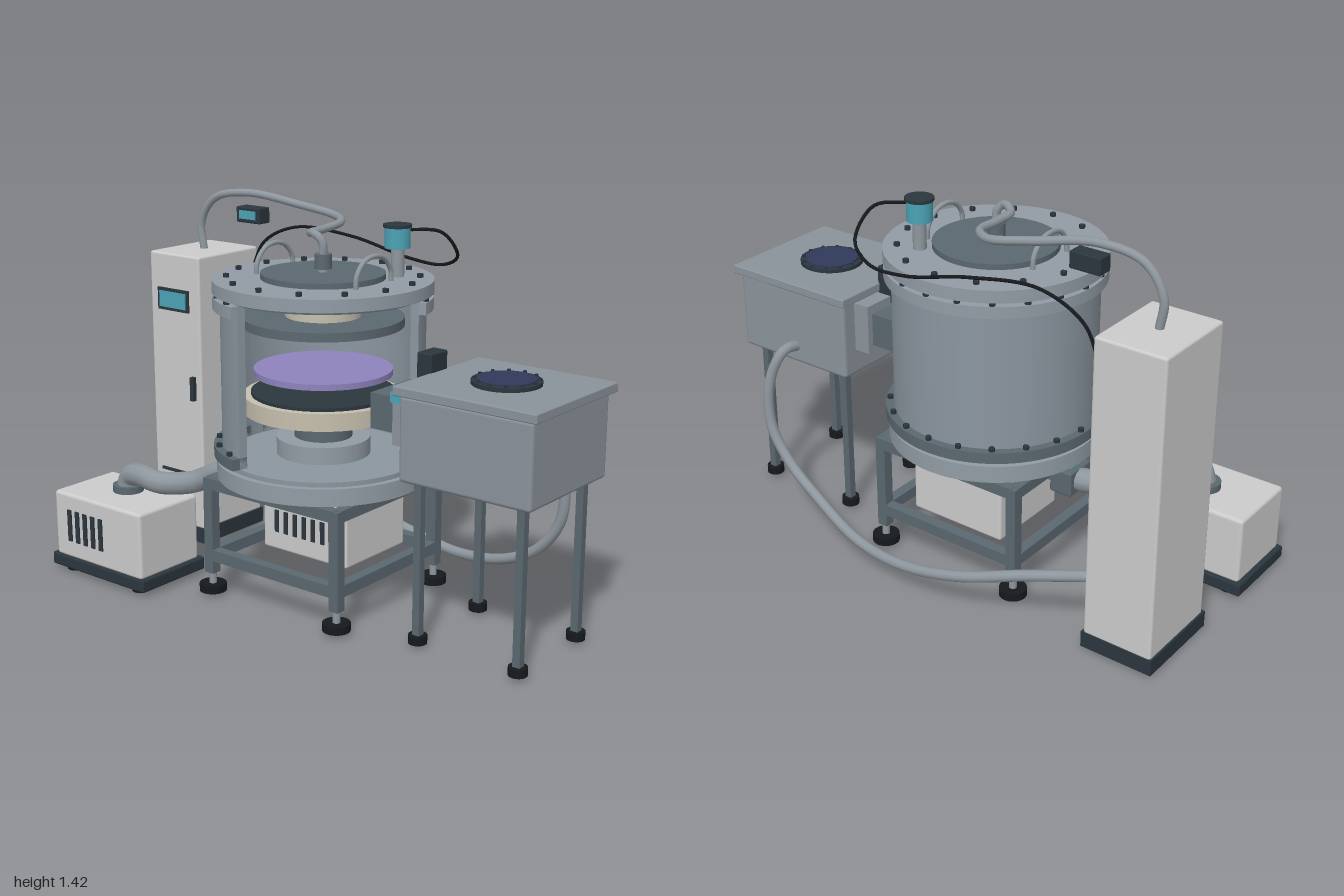
import * as THREE from 'three';
import { toCreasedNormals } from 'three/addons/utils/BufferGeometryUtils.js';
import { RoundedBoxGeometry } from 'three/addons/geometries/RoundedBoxGeometry.js';

const COLORS = {
  steel: 0x929ca5, wall: 0x8b96a0, frame: 0x5b6870, panel: 0xc4c8c7, dark: 0x2b363e, black: 0x16191c,
  teal: 0x4ba3b6, purple: 0x8f83bd, beige: 0xc6bfae, glass: 0x30395a, lock: 0x8b939b, pipe: 0x8e979e,
};
const CX = -0.053; // chamber axis

export function createModel() {
  const root = new THREE.Group();
  root.name = 'processChamberSystem';
  const mats = {};
  for (const k in COLORS) mats[k] = new THREE.MeshStandardMaterial({ color: COLORS[k] });

  const group = (name) => {
    const g = new THREE.Group();
    g.name = name;
    root.add(g);
    return g;
  };
  const add = (parent, name, geo, mat, x = 0, y = 0, z = 0) => {
    const m = new THREE.Mesh(geo, mats[mat]);
    m.name = name;
    m.position.set(x, y, z);
    parent.add(m);
    return m;
  };
  // Box given by its extents on each axis; r rounds the edges
  const box = (p, name, mat, [x0, x1], [y0, y1], [z0, z1], r = 0) => {
    const s = [x1 - x0, y1 - y0, z1 - z0];
    const geo = r ? new RoundedBoxGeometry(...s, 2, r) : new THREE.BoxGeometry(...s);
    return add(p, name, geo, mat, (x0 + x1) / 2, (y0 + y1) / 2, (z0 + z1) / 2);
  };
  // Upright cylinder from y0 to y1
  const cyl = (p, name, mat, r, y0, y1, x, z, seg = 48) =>
    add(p, name, new THREE.CylinderGeometry(r, r, y1 - y0, seg), mat, x, (y0 + y1) / 2, z);
  const tube = (p, name, mat, r, pts, seg = 64) => {
    const curve = new THREE.CatmullRomCurve3(pts.map((q) => new THREE.Vector3(...q)));
    return add(p, name, new THREE.TubeGeometry(curve, seg, r, 10), mat);
  };

  // Ring around the chamber axis, cut open toward the front left
  const OPEN0 = THREE.MathUtils.degToRad(13.6), OPEN1 = THREE.MathUtils.degToRad(256.4);
  const openRing = (p, name, mat, rIn, rOut, y0, y1) => {
    const s = new THREE.Shape();
    s.absarc(0, 0, rOut, OPEN0, OPEN1, false);
    s.absarc(0, 0, rIn, OPEN1, OPEN0, true);
    const geo = new THREE.ExtrudeGeometry(s, { depth: y1 - y0, bevelEnabled: false, curveSegments: 56 });
    geo.rotateX(-Math.PI / 2);
    return add(p, name, toCreasedNormals(geo, 0.5), mat, CX, y0, 0);
  };
  const bolts = (p, name, n, r, y, a0, a1, cx = CX, size = 0.011, h = 0.014) => {
    for (let i = 0; i < n; i++) {
      const a = a0 + ((a1 - a0) * i) / n;
      cyl(p, name, 'dark', size, y, y + h, cx + r * Math.cos(a), -r * Math.sin(a), 6);
    }
  };

  // Chamber shell
  const chamber = group('chamber');
  cyl(chamber, 'basePlate', 'steel', 0.387, 0.457, 0.52, CX, 0, 64);
  cyl(chamber, 'baseStep', 'wall', 0.365, 0.52, 0.537, CX, 0, 64);
  openRing(chamber, 'chamberWall', 'wall', 0.335, 0.366, 0.537, 1.12);
  openRing(chamber, 'lowerFlange', 'frame', 0.335, 0.396, 0.537, 0.578);
  openRing(chamber, 'upperFlange', 'steel', 0.335, 0.392, 1.077, 1.12);
  bolts(chamber, 'lowerFlangeBolt', 14, 0.38, 0.578, OPEN0 + 0.08, OPEN1 + 0.18);
  bolts(chamber, 'upperFlangeBolt', 14, 0.38, 1.12, OPEN0 + 0.08, OPEN1 + 0.18);

  // Lid with handles, feedthrough and sensor
  const lid = group('lid');
  cyl(lid, 'lidPlate', 'steel', 0.393, 1.133, 1.178, CX, 0, 64);
  cyl(lid, 'lidSeal', 'frame', 0.36, 1.12, 1.133, CX, 0, 64);
  cyl(lid, 'lidCentre', 'frame', 0.222, 1.178, 1.198, CX, 0, 64);
  bolts(lid, 'lidBolt', 14, 0.342, 1.178, Math.PI / 2, Math.PI * 2.5);
  for (const s of [-1, 1]) {
    const x = CX + s * 0.225;
    tube(lid, 'lidHandle', 'pipe', 0.009, [[x, 1.17, -0.1], [x, 1.22, -0.095], [x, 1.265, -0.055], [x, 1.278, 0],
      [x, 1.265, 0.055], [x, 1.22, 0.095], [x, 1.17, 0.1]], 32);
  }
  cyl(lid, 'feedthrough', 'frame', 0.031, 1.21, 1.262, CX, 0, 24);
  cyl(lid, 'feedthroughStem', 'pipe', 0.018, 1.195, 1.215, CX, 0, 20);
  cyl(lid, 'sensorPost', 'pipe', 0.024, 1.178, 1.285, 0.138, -0.182, 24);
  cyl(lid, 'sensorBody', 'teal', 0.046, 1.28, 1.353, 0.138, -0.18, 32);
  cyl(lid, 'sensorCap', 'dark', 0.051, 1.353, 1.364, 0.138, -0.18, 32);

  // Inner electrodes and pedestal
  const inner = group('electrodeStack');
  cyl(inner, 'upperInsulator', 'beige', 0.135, 1.04, 1.122, CX, 0);
  cyl(inner, 'upperElectrode', 'frame', 0.29, 1.01, 1.042, CX, 0);
  cyl(inner, 'wafer', 'purple', 0.25, 0.83, 0.852, CX, 0);
  cyl(inner, 'lowerElectrode', 'beige', 0.288, 0.695, 0.758, CX, 0);
  cyl(inner, 'electrodeFace', 'dark', 0.26, 0.758, 0.77, CX, 0);
  cyl(inner, 'pedestalColumn', 'frame', 0.105, 0.59, 0.695, CX, 0);
  cyl(inner, 'pedestalFoot', 'steel', 0.17, 0.535, 0.6, CX, 0);

  // Support frame
  const frame = group('supportFrame');
  const FX = 0.293, FZ = 0.288, t = 0.02;
  for (const sx of [-1, 1]) for (const sz of [-1, 1]) {
    const x = CX + sx * FX, z = sz * FZ;
    box(frame, 'frameLeg', 'frame', [x - t, x + t], [0.085, 0.45], [z - t, z + t]);
    cyl(frame, 'footStem', 'pipe', 0.014, 0.04, 0.09, x, z, 16);
    cyl(frame, 'footPad', 'black', 0.05, 0.013, 0.042, x, z, 24);
  }
  for (const [y0, y1] of [[0.41, 0.452], [0.135, 0.178]]) for (const s of [-1, 1]) {
    box(frame, 'frameSideRail', 'frame', [CX + s * FX - t, CX + s * FX + t], [y0, y1], [-FZ, FZ]);
    box(frame, 'frameCrossRail', 'frame', [CX - FX, CX + FX], [y0, y1], [s * FZ - t, s * FZ + t]);
  }

  // Power unit inside the frame
  const power = group('powerUnit');
  box(power, 'powerBody', 'panel', [-0.245, 0.147], [0.16, 0.362], [-0.228, 0.117], 0.01);
  for (let i = 0; i < 7; i++) {
    const x = -0.178 + i * 0.043;
    box(power, 'powerVent', 'dark', [x - 0.009, x + 0.009], [0.23, 0.315], [0.11, 0.121]);
  }

  // Gas and generator cabinet
  const cabinet = group('gasCabinet');
  box(cabinet, 'cabinetBase', 'dark', [-0.978, -0.703], [0.01, 0.07], [-0.392, -0.04]);
  box(cabinet, 'cabinetBody', 'panel', [-0.972, -0.71], [0.065, 1.167], [-0.39, -0.05], 0.01);
  box(cabinet, 'displayFrame', 'dark', [-0.926, -0.764], [0.943, 1.03], [-0.055, -0.042]);
  box(cabinet, 'display', 'teal', [-0.914, -0.776], [0.955, 1.018], [-0.05, -0.038]);
  box(cabinet, 'doorHandle', 'dark', [-0.755, -0.737], [0.597, 0.692], [-0.055, -0.032]);
  for (let i = 0; i < 4; i++) {
    const y = 0.19 + i * 0.03;
    box(cabinet, 'cabinetVent', 'dark', [-0.935, -0.77], [y, y + 0.012], [-0.055, -0.045]);
  }

  // Vacuum pump
  const pump = group('vacuumPump');
  box(pump, 'pumpBase', 'dark', [-1, -0.505], [0.018, 0.067], [0.165, 0.492], 0.008);
  box(pump, 'pumpBody', 'panel', [-0.983, -0.523], [0.06, 0.318], [0.18, 0.483], 0.014);
  for (const x of [-0.93, -0.575]) for (const z of [0.22, 0.44]) cyl(pump, 'pumpFoot', 'black', 0.03, 0, 0.02, x, z, 20);
  for (let i = 0; i < 5; i++) {
    const x = -0.9 + i * 0.042;
    box(pump, 'pumpVent', 'dark', [x - 0.01, x + 0.01], [0.13, 0.255], [0.475, 0.488]);
  }
  cyl(pump, 'pumpPort', 'frame', 0.058, 0.315, 0.345, -0.758, 0.31, 32);
  tube(pump, 'vacuumHose', 'pipe', 0.043, [[-0.758, 0.335, 0.31], [-0.74, 0.38, 0.312], [-0.67, 0.4, 0.325],
    [-0.56, 0.395, 0.33], [-0.49, 0.39, 0.25], [-0.505, 0.38, 0.13], [-0.5, 0.38, 0.04], [-0.45, 0.38, 0],
    [-0.36, 0.38, 0], [-0.24, 0.385, 0], [-0.195, 0.41, 0], [-0.185, 0.46, 0]], 80);
  box(pump, 'vacuumValve', 'frame', [-0.43, -0.34], [0.33, 0.425], [-0.065, 0.065], 0.008);
  box(pump, 'valveActuator', 'teal', [-0.41, -0.355], [0.425, 0.455], [-0.03, 0.03]);
  tube(pump, 'pumpLine', 'pipe', 0.017, [[-0.8, 0.27, -0.06], [-0.785, 0.27, 0.04], [-0.765, 0.265, 0.12], [-0.755, 0.265, 0.2]], 20);

  // Transfer neck and gate valve
  const gate = group('gateValve');
  box(gate, 'transferNeck', 'frame', [0.275, 0.4], [0.72, 0.845], [-0.148, 0.148]);
  box(gate, 'gateBody', 'lock', [0.397, 0.462], [0.692, 0.88], [-0.172, 0.187]);
  box(gate, 'gateIndicator', 'teal', [0.402, 0.455], [0.845, 0.88], [0.187, 0.208]);
  box(gate, 'gateActuator', 'dark', [0.394, 0.456], [0.85, 0.985], [-0.045, 0.05], 0.006);

  // Load lock
  const lock = group('loadLock');
  box(lock, 'lockBody', 'lock', [0.465, 0.977], [0.59, 0.888], [-0.23, 0.245], 0.014);
  box(lock, 'lockLid', 'lock', [0.447, 0.997], [0.886, 0.92], [-0.248, 0.258], 0.005);
  cyl(lock, 'windowRing', 'dark', 0.118, 0.918, 0.934, 0.724, 0.003);
  cyl(lock, 'windowGlass', 'glass', 0.098, 0.93, 0.94, 0.724, 0.003);
  bolts(lock, 'windowBolt', 12, 0.107, 0.934, 0, Math.PI * 2, 0.724, 0.006, 0.008);
  for (const x of [0.52, 0.922]) for (const z of [-0.172, 0.195]) {
    box(lock, 'lockLeg', 'frame', [x - 0.014, x + 0.014], [0.035, 0.6], [z - 0.014, z + 0.014]);
    cyl(lock, 'lockFoot', 'black', 0.033, 0.013, 0.043, x, z, 20);
  }

  // Floating readout
  const readout = group('readout');
  box(readout, 'readoutCase', 'dark', [-0.638, -0.52], [1.295, 1.355], [-0.25, -0.19], 0.005);
  box(readout, 'readoutScreen', 'teal', [-0.62, -0.54], [1.31, 1.342], [-0.195, -0.186]);

  // Lines between the units
  const lines = group('connectingLines');
  tube(lines, 'gasLine', 'pipe', 0.015, [[-0.84, 1.16, -0.22], [-0.85, 1.27, -0.22], [-0.78, 1.37, -0.222],
    [-0.62, 1.402, -0.24], [-0.4, 1.37, -0.29], [-0.25, 1.345, -0.305], [-0.165, 1.335, -0.24], [-0.147, 1.325, -0.12],
    [-0.135, 1.325, -0.03], [-0.08, 1.33, 0.01], [-0.053, 1.305, 0.004], [CX, 1.25, 0]], 96);
  tube(lines, 'signalCable', 'black', 0.006, [[-0.712, 1.08, -0.36], [-0.66, 1.19, -0.37], [-0.5, 1.265, -0.38],
    [-0.25, 1.25, -0.415], [0, 1.195, -0.43], [0.17, 1.19, -0.415], [0.265, 1.24, -0.37], [0.255, 1.335, -0.28],
    [0.165, 1.345, -0.2]], 80);
  tube(lines, 'exhaustLine', 'pipe', 0.02, [[0.71, 0.655, -0.21], [0.715, 0.66, -0.29], [0.75, 0.55, -0.335],
    [0.745, 0.36, -0.35], [0.66, 0.23, -0.352], [0.5, 0.14, -0.375], [0.25, 0.085, -0.44], [0, 0.1, -0.485],
    [-0.25, 0.155, -0.485], [-0.5, 0.225, -0.42], [-0.73, 0.265, -0.325]], 96);

  return root;
}
